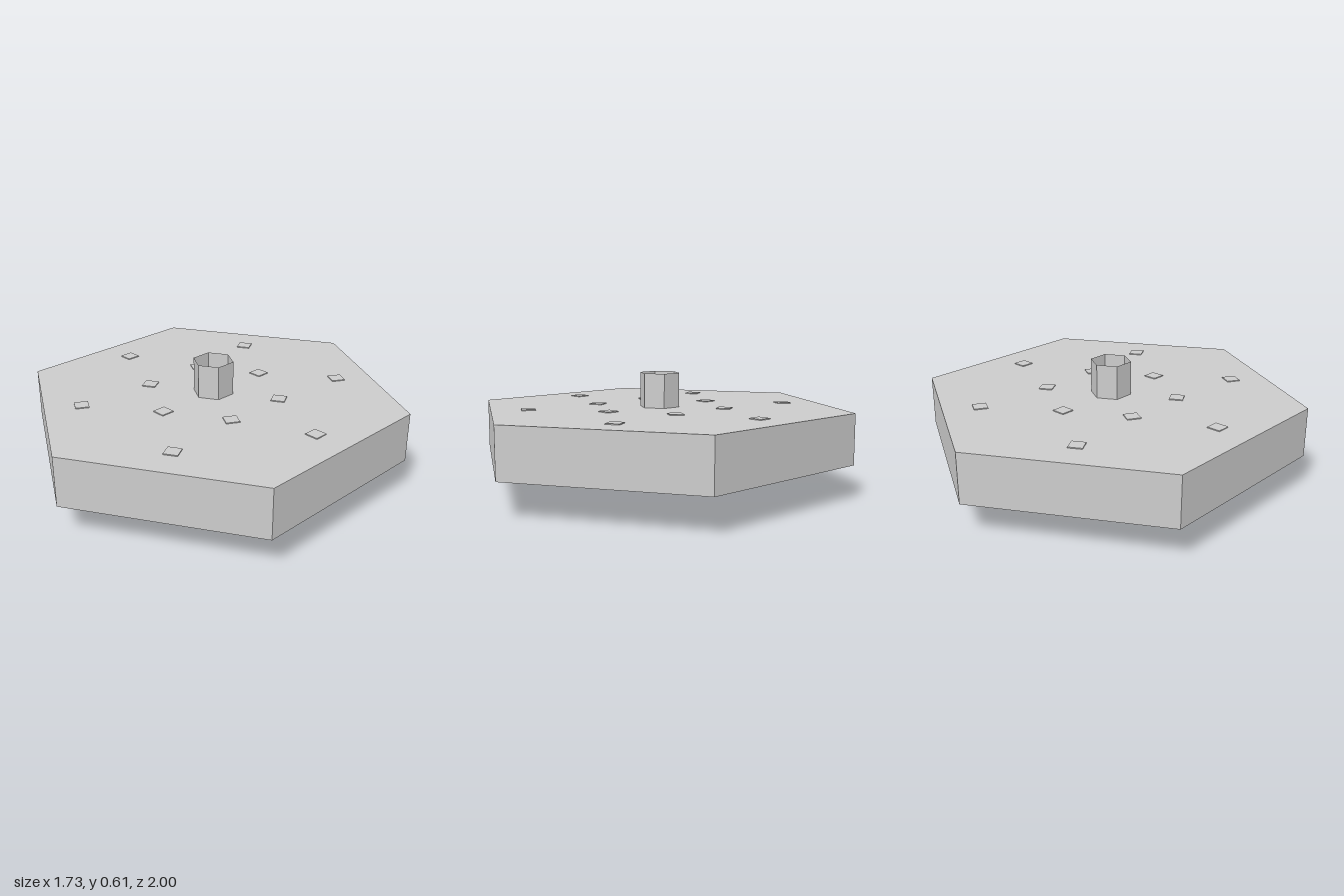
import * as THREE from 'three';

const HEIGHT = 0.612, MID = HEIGHT / 2, HALF = 0.129; // overall height, plate centre, half plate thickness
const R = 1, BORE = 0.105;

export function createModel() {
  const model = new THREE.Group();
  const solid = new THREE.MeshStandardMaterial({ color: 0xcccccc, flatShading: true });
  const thin = new THREE.MeshStandardMaterial({ color: 0xcccccc, flatShading: true, side: THREE.DoubleSide });

  const add = (name, geometry, material, y, parent = model) => {
    const mesh = new THREE.Mesh(geometry, material);
    mesh.name = name;
    mesh.position.y = y;
    parent.add(mesh);
    return mesh;
  };

  // Hexagonal plate with an open centre; the tube lines the bore
  const profile = [[BORE, -HALF], [R, -HALF], [R, HALF], [BORE, HALF]]
    .map(([x, y]) => new THREE.Vector2(x, y));
  add('plate', new THREE.LatheGeometry(profile, 6), solid, MID);

  // Thin-walled hexagonal tube, open at both ends
  add('centreTube', new THREE.CylinderGeometry(BORE, BORE, HEIGHT, 6, 1, true), thin, MID);

  // Two rings of low square pads on both faces: outer toward the edges, inner toward the corners
  const padGeometry = new THREE.BoxGeometry(0.07, 0.01, 0.07);
  const rings = [['outerPads', 0.68, Math.PI / 6], ['innerPads', 0.345, 0]];
  for (const [name, radius, start] of rings) {
    const ring = new THREE.Group();
    ring.name = name;
    model.add(ring);
    for (let i = 0; i < 6; i++) {
      const a = start + i * Math.PI / 3;
      for (const side of [-1, 1]) {
        const pad = add('pad', padGeometry, solid, MID + side * HALF, ring);
        pad.position.x = radius * Math.sin(a);
        pad.position.z = radius * Math.cos(a);
        pad.rotation.y = a;
      }
    }
  }
  return model;
}
